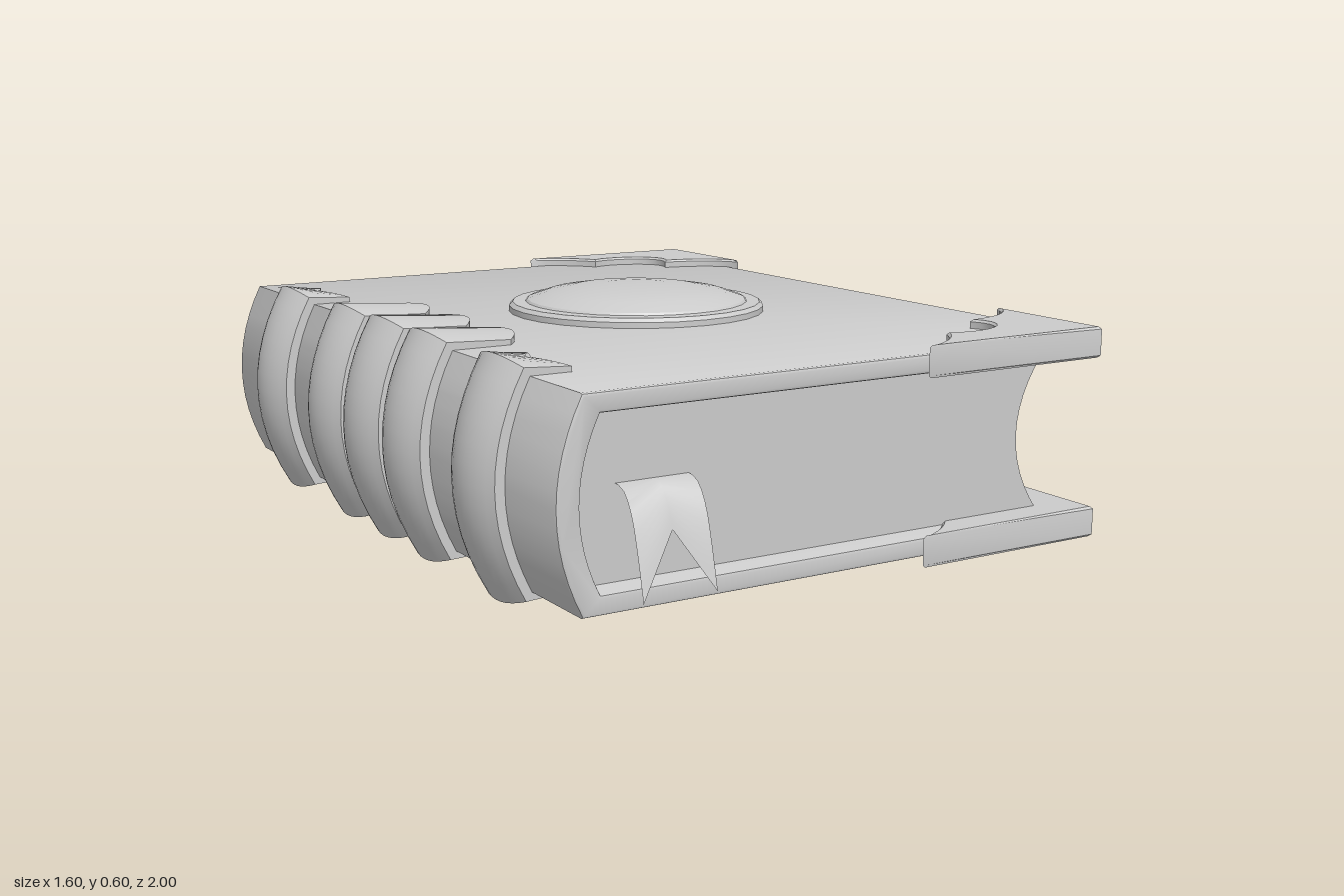
import * as THREE from 'three';
import { toCreasedNormals } from 'three/addons/utils/BufferGeometryUtils.js';

const MID_Y = 0.285; // the book mirrors about this height
const MID_Z = -0.02; // and about this depth
const grey = new THREE.MeshStandardMaterial({ color: 0xcccccc });
const greyThin = new THREE.MeshStandardMaterial({ color: 0xcccccc, side: THREE.DoubleSide });

function part(name, geometry, material = grey) {
  const mesh = new THREE.Mesh(geometry, material);
  mesh.name = name;
  return mesh;
}

// Parabolic bow from (cornerX, cornerY) down to its mirror, reaching midX half way
function bow(cornerX, cornerY, midX, steps = 12) {
  const points = [];
  for (let i = 0; i <= steps; i++) {
    const t = 1 - (2 * i) / steps;
    points.push([cornerX + (midX - cornerX) * (1 - t * t), MID_Y + t * (cornerY - MID_Y)]);
  }
  return points;
}

// Extrude an outline in x-y from z0 to z1
function prism(points, z0, z1, bevel = 0) {
  const shape = new THREE.Shape(points.map(([x, y]) => new THREE.Vector2(x, y)));
  const geometry = new THREE.ExtrudeGeometry(shape, {
    depth: z1 - z0 - 2 * bevel, bevelEnabled: bevel > 0, bevelSize: bevel,
    bevelThickness: bevel, bevelOffset: -bevel, bevelSegments: 2,
  });
  geometry.translate(0, 0, z0 + bevel);
  return toCreasedNormals(geometry, 0.5);
}

// Smooth surface through rows of points of equal length
function loft(rows, crease) {
  const n = rows[0].length;
  const index = [];
  for (let j = 0; j < rows.length - 1; j++) {
    for (let i = 0; i < n - 1; i++) {
      const a = j * n + i;
      const c = a + n;
      index.push(a, a + 1, c, a + 1, c + 1, c);
    }
  }
  const geometry = new THREE.BufferGeometry();
  geometry.setAttribute('position', new THREE.Float32BufferAttribute(rows.flat(2), 3));
  geometry.setIndex(index);
  return toCreasedNormals(geometry, crease);
}

// Raised spine band: arched across its width, with shaped ends lying on the covers
function spineBand(z, forked) {
  const rows = [];
  const addRow = (u, endY, cornerX, cornerY, midX) => {
    const endX = forked ? -0.615 + 0.045 * Math.abs(u) : -0.47 - 0.05 * u * u;
    const path = [
      [endX, 0.52], [endX, endY],
      ...bow(cornerX, cornerY, midX),
      [endX, 2 * MID_Y - endY], [endX, 2 * MID_Y - 0.52],
    ];
    rows.push(path.map(([x, y]) => [x, y, z + 0.107 * u]));
  };
  addRow(-1, 0.52, -0.66, 0.52, -0.72);
  for (let k = 0; k <= 10; k++) {
    const u = -1 + k / 5;
    const h = 1 - u * u;
    addRow(u, 0.543 + 0.008 * h, -0.69 - 0.022 * h, 0.55 + 0.02 * h, -0.765 - 0.035 * h);
  }
  addRow(1, 0.52, -0.66, 0.52, -0.72);
  return loft(rows, 0.6);
}

// Scalloped corner guard; side is +1 at the front, -1 at the back
function cornerGuard(side, y0, y1) {
  const z = (w) => MID_Z + side * w;
  const shape = new THREE.Shape();
  shape.moveTo(0.245, z(0.983));
  shape.quadraticCurveTo(0.36, z(0.94), 0.41, z(0.85));
  shape.bezierCurveTo(0.5, z(0.9), 0.66, z(0.83), 0.595, z(0.725));
  shape.quadraticCurveTo(0.75, z(0.71), 0.795, z(0.605));
  shape.lineTo(0.795, z(0.983));
  const bevel = 0.006;
  const geometry = new THREE.ExtrudeGeometry(shape, {
    depth: y1 - y0 - 2 * bevel, bevelSize: bevel, bevelThickness: bevel,
    bevelOffset: -bevel, bevelSegments: 1, curveSegments: 10,
  });
  geometry.rotateX(Math.PI / 2).translate(0, y1 - bevel, 0);
  return toCreasedNormals(geometry, 0.5);
}

// Ribbon hanging along a (z, y) curve between x0 and x1; notch forks its end
function ribbon(points, x0, x1, notch) {
  const curve = new THREE.SplineCurve(points.map(([z, y]) => new THREE.Vector2(z, y)));
  const rows = [x0, (x0 + x1) / 2, x1].map((x, k) => {
    const reach = k === 1 ? 1 - notch : 1;
    return Array.from({ length: 13 }, (_, i) => {
      const p = curve.getPointAt((reach * i) / 12);
      return [x, p.y, p.x];
    });
  });
  return loft(rows, 0.8);
}

export function createModel() {
  const book = new THREE.Group();
  book.name = 'book';

  // Cover: one wrap of both boards and the bowed spine
  const inner = bow(-0.63, 0.483, -0.68).reverse();
  book.add(part('cover', prism([
    [0.775, 0.53], ...bow(-0.675, 0.53, -0.74), [0.775, 0.04],
    [0.775, 0.087], ...inner, [0.775, 0.483],
  ], -0.99, 0.95, 0.008)));

  // Page block with a hollowed fore edge
  book.add(part('pages', prism([
    ...bow(-0.63, 0.485, -0.682), ...bow(0.68, 0.485, 0.602).reverse(),
  ], -0.9, 0.88)));

  // Five spine bands, the outer two forked
  [-0.653, -0.262, -0.02, 0.225, 0.613].forEach((z, i) => {
    book.add(part('spineBand', spineBand(z, i === 0 || i === 4)));
  });

  // Guards on the four free corners
  for (const side of [1, -1]) {
    book.add(part('upperCornerGuard', cornerGuard(side, 0.475, 0.553)));
    book.add(part('lowerCornerGuard', cornerGuard(side, 0.017, 0.095)));
  }

  // Round domed boss in a low rim on the upper cover
  const profile = [
    [0.345, 0.52], [0.345, 0.545], [0.335, 0.555], [0.3, 0.556], [0.295, 0.562],
    [0.24, 0.581], [0.17, 0.593], [0.09, 0.599], [0, 0.601],
  ].map(([r, y]) => new THREE.Vector2(r, y));
  const boss = part('boss', toCreasedNormals(new THREE.LatheGeometry(profile, 28), 0.5));
  boss.position.set(0.045, 0, MID_Z);
  book.add(boss);

  // Bookmark: forked tail at the front, folded loop at the back
  book.add(part('bookmarkTail', ribbon(
    [[0.87, 0.31], [0.915, 0.3], [0.95, 0.25], [0.975, 0.17], [1, 0.067]],
    -0.555, -0.365, 0.5), greyThin));
  book.add(part('bookmarkLoop', ribbon(
    [[-0.89, 0.31], [-0.925, 0.3], [-0.945, 0.25], [-0.935, 0.17], [-0.915, 0.09]],
    -0.555, -0.45, 0), greyThin));
  return book;
}
